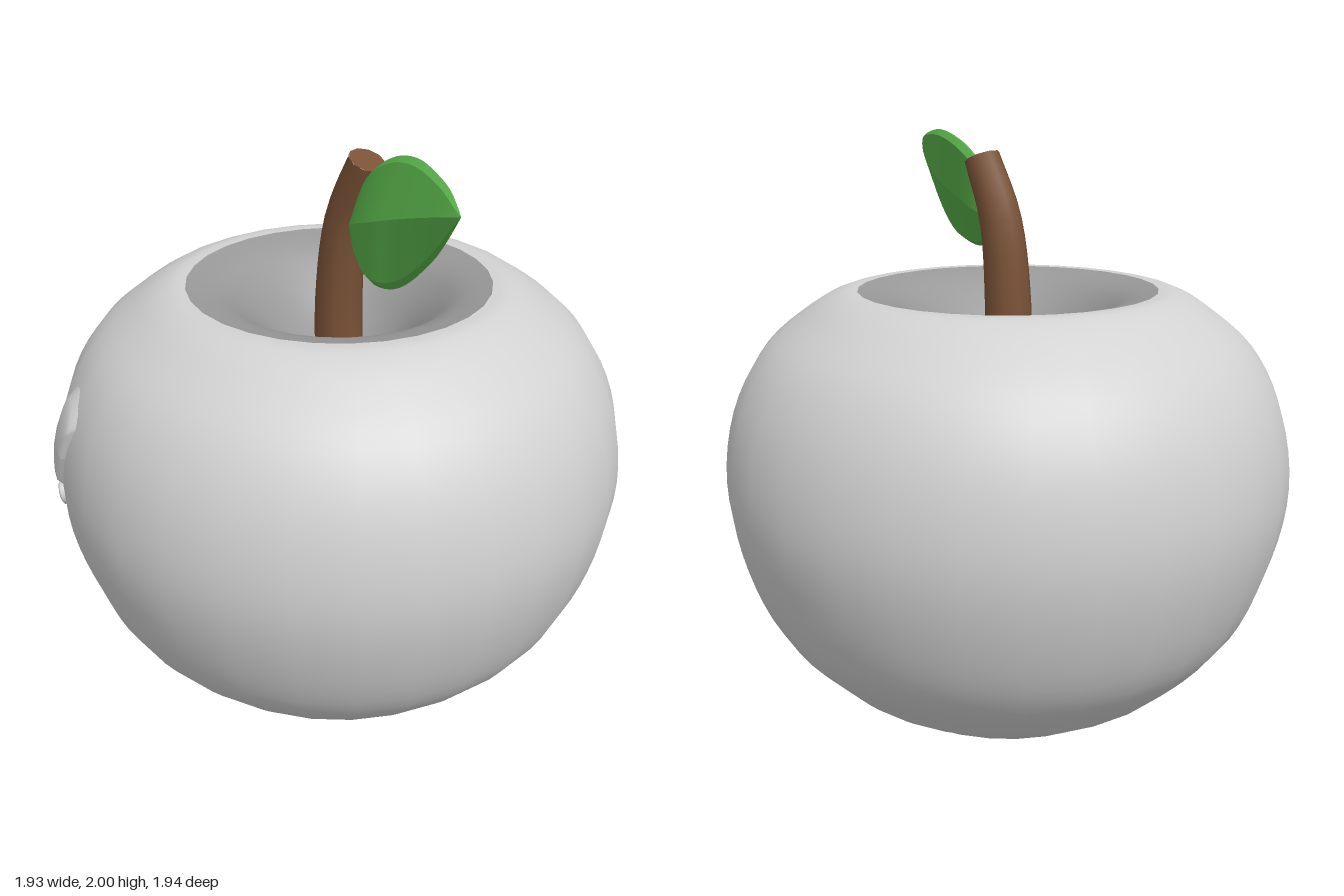
import * as THREE from 'three';
import { toCreasedNormals } from 'three/addons/utils/BufferGeometryUtils.js';

const V2 = (p) => new THREE.Vector2(p[0], p[1]);
const V3 = (p) => new THREE.Vector3(p[0], p[1], p[2]);
const material = (name, color) => {
  const m = new THREE.MeshStandardMaterial({ color });
  m.name = name;
  return m;
};

// Outer profile from the bottom dimple up to the rim of the hollow
const PROFILE = [
  [0, 0.12], [0.1, 0.1], [0.2, 0.05], [0.31, 0.003], [0.4, 0.008], [0.54, 0.09], [0.65, 0.165],
  [0.825, 0.355], [0.93, 0.6], [0.972, 0.85], [0.935, 1.1], [0.83, 1.3], [0.67, 1.435],
  [0.57, 1.485], [0.51, 1.49],
];
const HOLLOW = [[0.51, 1.49], [0.4, 1.46], [0.3, 1.385], [0.2, 1.29], [0.1, 1.225], [0, 1.21]];

const lathe = (points, steps) =>
  new THREE.LatheGeometry(new THREE.SplineCurve(points.map(V2)).getPoints(steps).map((p) => {
    p.x = Math.max(0, p.x);
    p.y = THREE.MathUtils.clamp(p.y, 0, 1.49);
    return p;
  }), 30);

// Radius of the body's side at a given height
const side = new THREE.SplineCurve(PROFILE.slice(4, 14).map(V2)).getPoints(90);
function radiusAt(y) {
  const i = side.findIndex((p) => p.y >= y);
  const a = side[i - 1], b = side[i];
  return a.x + (b.x - a.x) * (y - a.y) / (b.y - a.y);
}

// Raised rounded patch wrapped on the front of the body
function shinePatch(cx, cy, rx, ry, half, tilt) {
  const geo = new THREE.RingGeometry(0.001, 1, 32, 6);
  const p = geo.attributes.position;
  for (let i = 0; i < p.count; i++) {
    const u = p.getX(i), v = p.getY(i), rho = Math.hypot(u, v);
    const lx = u * rx;
    const ly = v * ry + (Math.abs(v) < 1e-6 ? 0 : Math.sign(v)) * half * rho;
    const x = cx + lx * Math.cos(tilt) + ly * Math.sin(tilt);
    const y = cy - lx * Math.sin(tilt) + ly * Math.cos(tilt);
    const r = radiusAt(y);
    p.setXYZ(i, x, y, Math.sqrt(r * r - x * x) - 0.008 + 0.033 * Math.sqrt(Math.max(0, 1 - rho ** 4)));
  }
  geo.computeVertexNormals();
  return geo;
}

// Bent stem, tapering along its path
const stemPath = new THREE.CatmullRomCurve3(
  [[0, 1.15, 0], [0, 1.45, 0], [0.035, 1.72, 0], [0.122, 1.921, 0]].map(V3));
function stemGeometry() {
  const rows = 14, sides = 10;
  const geo = new THREE.TubeGeometry(stemPath, rows, 0.083, sides);
  const p = geo.attributes.position, v = new THREE.Vector3();
  for (let i = 0; i < p.count; i++) {
    const t = Math.floor(i / (sides + 1)) / rows;
    const c = stemPath.getPointAt(t);
    v.fromBufferAttribute(p, i).sub(c).multiplyScalar(1 - 0.26 * t * t).add(c);
    p.setXYZ(i, v.x, v.y, v.z);
  }
  return geo;
}

// Thick leaf: a ridge on both faces and rounded edges
function leafGeometry() {
  const base = [0.085, 1.71, 0.04], tip = [0.725, 1.95, 0.28];
  const upper = new THREE.CatmullRomCurve3([base, [0.16, 1.89, 0.025], [0.27, 1.97, 0.04],
    [0.4, 2.0, 0.08], [0.56, 1.985, 0.16], tip].map(V3));
  const lower = new THREE.CatmullRomCurve3([base, [0.16, 1.635, 0.08], [0.28, 1.595, 0.14],
    [0.4, 1.62, 0.17], [0.56, 1.745, 0.22], tip].map(V3));
  const section = [[1, 0], [0.9, 0.4], [0, 1], [-0.9, 0.4], [-1, 0], [-0.9, -0.4], [0, -1], [0.9, -0.4]];
  const out = new THREE.Vector3(-0.34, 0.1, 0.93).normalize();
  const rows = 24, n = section.length, pos = [], index = [];
  for (let j = 0; j <= rows; j++) {
    const t = j / rows;
    const a = upper.getPoint(t), b = lower.getPoint(t);
    const mid = a.clone().add(b).multiplyScalar(0.5);
    mid.y = base[1] + (tip[1] - base[1]) * (mid.x - base[0]) / (tip[0] - base[0]);
    const depth = 0.055 * Math.pow(Math.max(0, Math.sin(Math.PI * t)), 0.7);
    for (const [s, w] of section) {
      const q = mid.clone().lerp(s > 0 ? a : b, Math.abs(s)).addScaledVector(out, w * depth);
      pos.push(q.x, q.y, q.z);
    }
    if (j === rows) break;
    for (let k = 0; k < n; k++) {
      const p0 = j * n + k, p1 = j * n + (k + 1) % n;
      index.push(p0, p1, p0 + n, p1, p1 + n, p0 + n);
    }
  }
  const geo = new THREE.BufferGeometry();
  geo.setAttribute('position', new THREE.Float32BufferAttribute(pos, 3));
  geo.setIndex(index);
  return toCreasedNormals(geo, 0.3);
}

export function createModel() {
  const skin = material('pale grey skin', 0xd2d2d2);
  const shade = material('hollow grey', 0x999999);
  const bark = material('brown bark', 0x7a5236);
  const green = material('leaf green', 0x58b04a);

  const model = new THREE.Group();
  model.name = 'apple';
  const add = (name, geo, mat) => {
    const mesh = new THREE.Mesh(geo, mat);
    mesh.name = name;
    model.add(mesh);
    return mesh;
  };

  add('body', lathe(PROFILE, 56), skin);
  add('topHollow', lathe(HOLLOW, 20), shade);
  add('largeShine', shinePatch(-0.467, 1.033, 0.08, 0.08, 0.118, 0.45), skin);
  add('smallShine', shinePatch(-0.59, 0.755, 0.045, 0.055, 0, 0), skin);

  add('stem', stemGeometry(), bark);
  const cap = add('stemEnd', new THREE.CircleGeometry(0.0614, 10), bark);
  cap.position.copy(stemPath.getPointAt(1));
  cap.quaternion.setFromUnitVectors(new THREE.Vector3(0, 0, 1), stemPath.getTangentAt(1));

  add('leaf', leafGeometry(), green);
  return model;
}
